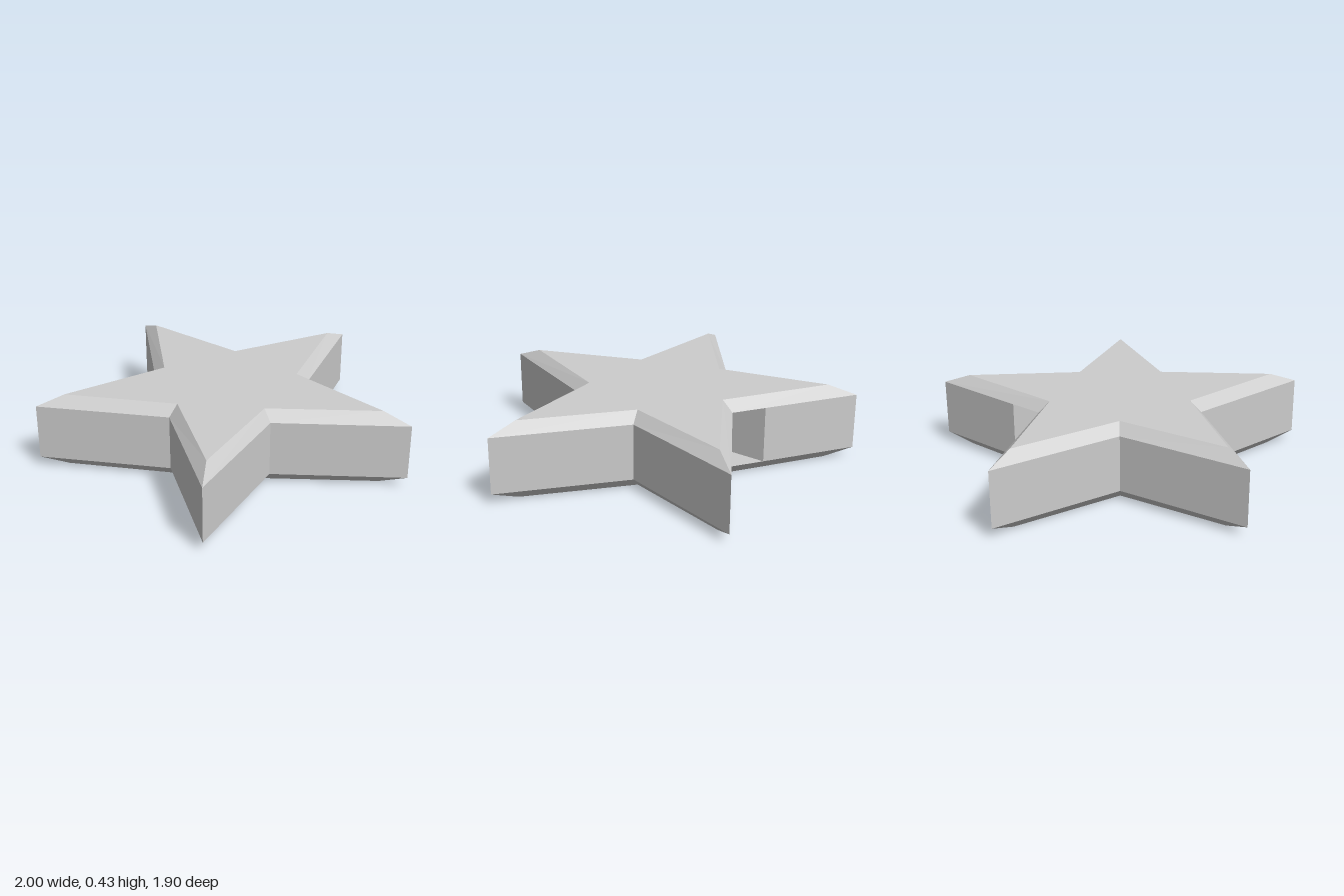
import * as THREE from 'three';

const CENTRE_Z = -0.1;
const BOTTOM = 0, LOWER = 0.058, UPPER = 0.367, TOP = 0.425;

// Ten-cornered star outline as [x, z], starting at the front tip
function star(tipRadius, notchRadius) {
  return Array.from({ length: 10 }, (_, i) => {
    const a = i * Math.PI / 5, r = i % 2 ? notchRadius : tipRadius;
    return [r * Math.sin(a), CENTRE_Z + r * Math.cos(a)];
  });
}

// Flat-sided band joining two outlines at two heights
function band(low, yLow, high, yHigh) {
  const pos = [];
  low.forEach((a, i) => {
    const j = (i + 1) % low.length;
    const b = low[j], c = high[j], d = high[i];
    pos.push(a[0], yLow, a[1], b[0], yLow, b[1], c[0], yHigh, c[1]);
    pos.push(a[0], yLow, a[1], c[0], yHigh, c[1], d[0], yHigh, d[1]);
  });
  const geo = new THREE.BufferGeometry();
  geo.setAttribute('position', new THREE.Float32BufferAttribute(pos, 3));
  geo.computeVertexNormals();
  return geo;
}

// Flat plate filling an outline, facing up (1) or down (-1)
function plate(outline, y, facing) {
  const shape = new THREE.Shape(outline.map(([x, z]) => new THREE.Vector2(x, -facing * z)));
  return new THREE.ShapeGeometry(shape).rotateX(-facing * Math.PI / 2).translate(0, y, 0);
}

export function createModel() {
  const group = new THREE.Group();
  group.name = 'star';
  const grey = new THREE.MeshStandardMaterial({ color: 0xcccccc });
  grey.name = 'grey';
  const add = (name, geo) => {
    const mesh = new THREE.Mesh(geo, grey);
    mesh.name = name;
    group.add(mesh);
  };

  const outer = star(1.0515, 0.455);
  const inner = star(0.895, 0.393);

  // Rectangular pocket cut into the rear notch
  const half = 0.16, pocketEnd = 0.1;
  const tip = outer[4], notch = outer[5];
  const mouth = notch[1] + (tip[1] - notch[1]) * half / tip[0];
  const pocket = [[half, mouth], [half, pocketEnd], [-half, pocketEnd], [-half, mouth]];
  const wall = [...outer.slice(0, 5), ...pocket, ...outer.slice(6)];

  add('topFace', plate(inner, TOP, 1));
  add('topBevel', band(outer, UPPER, inner, TOP));
  add('sideWall', band(wall, LOWER, wall, UPPER));
  add('bottomBevel', band(inner, BOTTOM, outer, LOWER));
  add('bottomFace', plate(inner, BOTTOM, -1));
  add('pocketFloor', plate([...pocket, notch], LOWER, 1));
  add('pocketCeiling', plate([...pocket, notch], UPPER, -1));
  return group;
}
